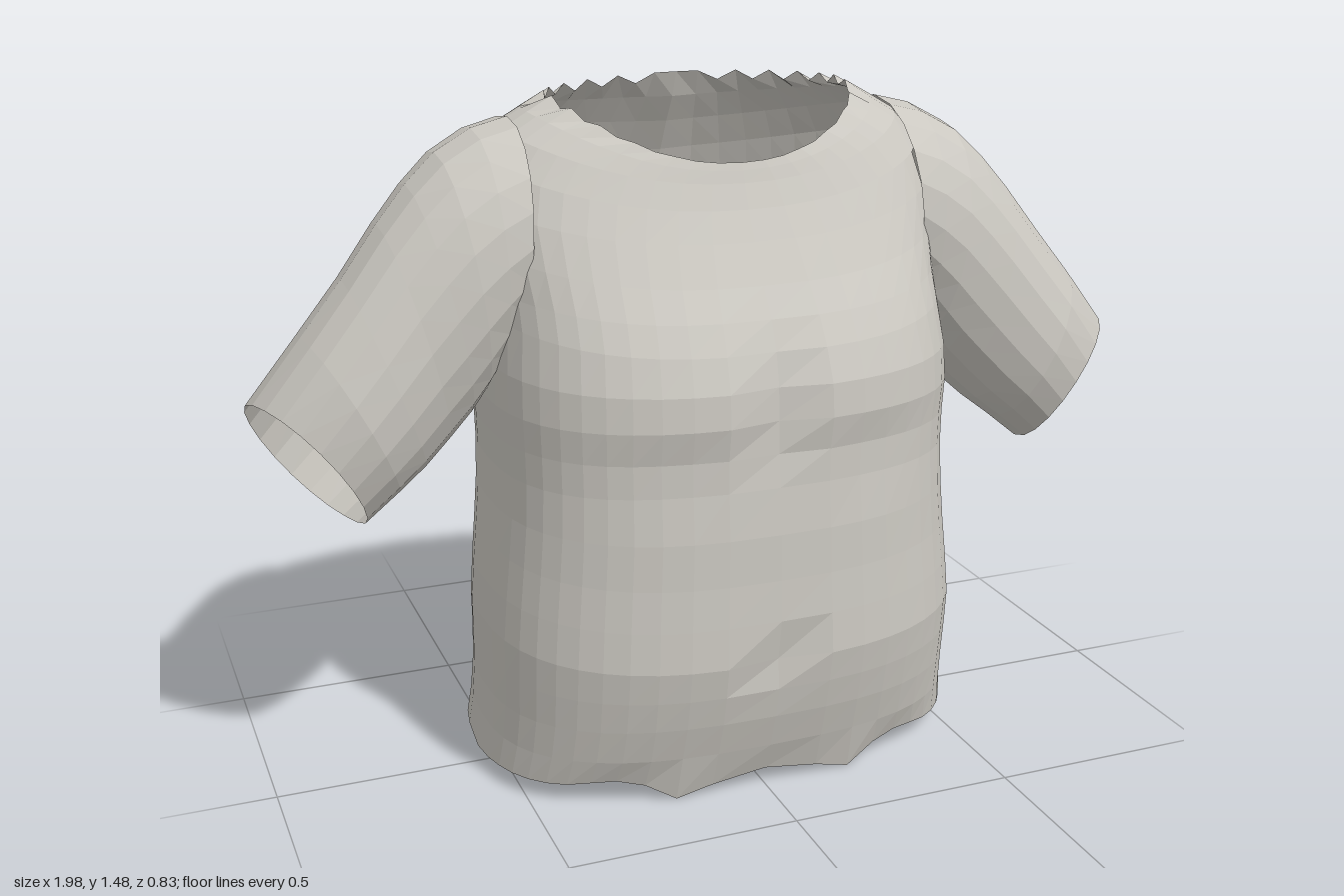
import * as THREE from 'three';

const COLS = 48;
const SIDES = 20;

const gauss = (v, centre, width) => Math.exp(-(((v - centre) / width) ** 2));

// Skin closed rings of [x, y, z] points; keep() may leave out quads
function loft(rings, flip, keep = () => true) {
  const n = rings[0].length;
  const index = [];
  for (let i = 0; i < rings.length - 1; i++) {
    for (let j = 0; j < n; j++) {
      const k = (j + 1) % n;
      const [a, b, c, d] = [i * n + j, i * n + k, (i + 1) * n + j, (i + 1) * n + k];
      if (!keep([rings[i][j], rings[i][k], rings[i + 1][j], rings[i + 1][k]])) continue;
      if (flip) index.push(a, c, b, b, c, d);
      else index.push(a, b, c, b, d, c);
    }
  }
  const geo = new THREE.BufferGeometry();
  geo.setAttribute('position', new THREE.Float32BufferAttribute(rings.flat(2), 3));
  geo.setIndex(index);
  geo.computeVertexNormals();
  return geo;
}

// Torso rings: front y, side y, back y, half width, front z, back z
const torsoRows = [
  [0.05, 0.05, 0.08, 0.55, 0.33, -0.41],
  [0.12, 0.12, 0.14, 0.54, 0.36, -0.395],
  [0.2, 0.2, 0.21, 0.535, 0.385, -0.37],
  [0.27, 0.28, 0.31, 0.535, 0.402, -0.345],
  [0.34, 0.36, 0.37, 0.535, 0.415, -0.35],
  [0.43, 0.45, 0.46, 0.527, 0.411, -0.365],
  [0.52, 0.54, 0.55, 0.517, 0.406, -0.38],
  [0.62, 0.63, 0.64, 0.508, 0.404, -0.394],
  [0.72, 0.72, 0.73, 0.504, 0.4, -0.405],
  [0.79, 0.79, 0.8, 0.505, 0.401, -0.412],
  [0.86, 0.86, 0.87, 0.508, 0.408, -0.418],
  [0.93, 0.94, 0.94, 0.505, 0.402, -0.42],
  [1.0, 1.04, 1.01, 0.495, 0.375, -0.415],
  [1.06, 1.1, 1.07, 0.495, 0.342, -0.405],
  [1.12, 1.18, 1.14, 0.505, 0.3, -0.388],
  [1.2, 1.27, 1.22, 0.515, 0.252, -0.358],
  [1.26, 1.35, 1.3, 0.5, 0.218, -0.322],
  [1.31, 1.41, 1.37, 0.45, 0.195, -0.282],
  [1.335, 1.445, 1.43, 0.39, 0.186, -0.242],
  [1.35, 1.465, 1.475, 0.335, 0.18, -0.2],
];

function torsoRing([yf, ys, yb, w, zf, zb], row) {
  const last = row === torsoRows.length - 1;
  const power = 2 / THREE.MathUtils.lerp(2.7, 2.15, THREE.MathUtils.smoothstep(ys, 1.0, 1.45));
  const z0 = -0.02 - 0.06 * THREE.MathUtils.smoothstep(ys, 0.8, 1.35);
  return Array.from({ length: COLS }, (_, j) => {
    const a = (j / COLS) * Math.PI * 2;
    const c = Math.cos(a), s = Math.sin(a);
    const front = s > 0;
    const x = w * Math.sign(c) * Math.abs(c) ** power;
    let y = ys + ((front ? yf : yb) - ys) * s * s;
    let z = z0 + ((front ? zf : zb) - z0) * Math.abs(s) ** power;
    if (front) {
      // Breastbone groove, fold under the chest and navel
      z -= 0.025 * gauss(x, 0, 0.05) * gauss(y, 0.88, 0.12);
      z -= 0.012 * gauss(y, 0.76, 0.05) * gauss(Math.abs(x), 0.2, 0.15);
      z -= 0.02 * gauss(x, 0, 0.04) * gauss(y, 0.34, 0.05);
    } else {
      // Spine groove, deepest at the base
      z += (0.018 + 0.025 * gauss(y, 0.2, 0.12)) * gauss(x, 0, 0.06) * (last ? 0 : 1);
    }
    if (row === 0) {
      // Uneven hem
      const ax = Math.abs(x);
      y += front ? -0.045 * gauss(ax, 0.18, 0.06) + 0.015 * gauss(ax, 0.34, 0.07)
        : 0.015 * gauss(ax, 0.4, 0.1) - 0.01 * gauss(ax, 0, 0.1);
      y -= 0.015 * gauss(z, 0, 0.05);
    }
    if (last) {
      // Ragged neckline
      y += (j % 2 ? 0.012 : -0.008) * (front ? 1 - s : 1);
      if (!front && Math.abs(x) < 0.025) y += 0.02;
    }
    return [x, y, z];
  });
}

// Sleeve rings: top x, top y, bottom x, bottom y, front z, back z
const sleeveRows = [
  [0.42, 1.432, 0.45, 0.97, 0.155, -0.3],
  [0.5, 1.413, 0.475, 0.92, 0.158, -0.292],
  [0.58, 1.37, 0.505, 0.87, 0.16, -0.275],
  [0.645, 1.31, 0.54, 0.825, 0.158, -0.255],
  [0.71, 1.235, 0.59, 0.775, 0.157, -0.232],
  [0.79, 1.13, 0.645, 0.725, 0.162, -0.21],
  [0.88, 1.02, 0.71, 0.675, 0.165, -0.195],
  [0.985, 0.89, 0.79, 0.61, 0.15, -0.178],
];

function sleeveRing([tx, ty, bx, by, zf, zb], row, side) {
  const slant = row === sleeveRows.length - 1 ? 0.05 : row === sleeveRows.length - 2 ? 0.02 : 0;
  return Array.from({ length: SIDES }, (_, j) => {
    const a = (j / SIDES) * Math.PI * 2;
    const c = Math.cos(a), s = Math.sin(a);
    const x = (tx + bx) / 2 + ((tx - bx) / 2) * c - slant * 0.79 * s;
    const y = (ty + by) / 2 + ((ty - by) / 2) * c + slant * 0.62 * s;
    const z = (zf + zb) / 2 + ((zf - zb) / 2) * Math.sign(s) * Math.abs(s) ** 0.9;
    return [side * x, y, z];
  });
}

// Torso faces lying within the armhole are left open
const inArmhole = ([x, y, z]) =>
  Math.abs(x) > 0.43 && ((y - 1.16) / 0.24) ** 2 + ((z + 0.07) / 0.22) ** 2 < 1;

export function createModel() {
  const group = new THREE.Group();
  group.name = 'shirt';
  const cloth = new THREE.MeshStandardMaterial({ color: 0xcbc8c1 });
  cloth.name = 'pale grey cloth';
  cloth.flatShading = true;
  cloth.side = THREE.DoubleSide;

  const add = (name, geo) => {
    const mesh = new THREE.Mesh(geo, cloth);
    mesh.name = name;
    group.add(mesh);
  };

  add('torso', loft(torsoRows.map(torsoRing), true, (quad) => !quad.every(inArmhole)));
  for (const side of [1, -1]) {
    const rings = sleeveRows.map((r, i) => sleeveRing(r, i, side));
    add(side > 0 ? 'leftSleeve' : 'rightSleeve', loft(rings, side < 0));
  }
  return group;
}
